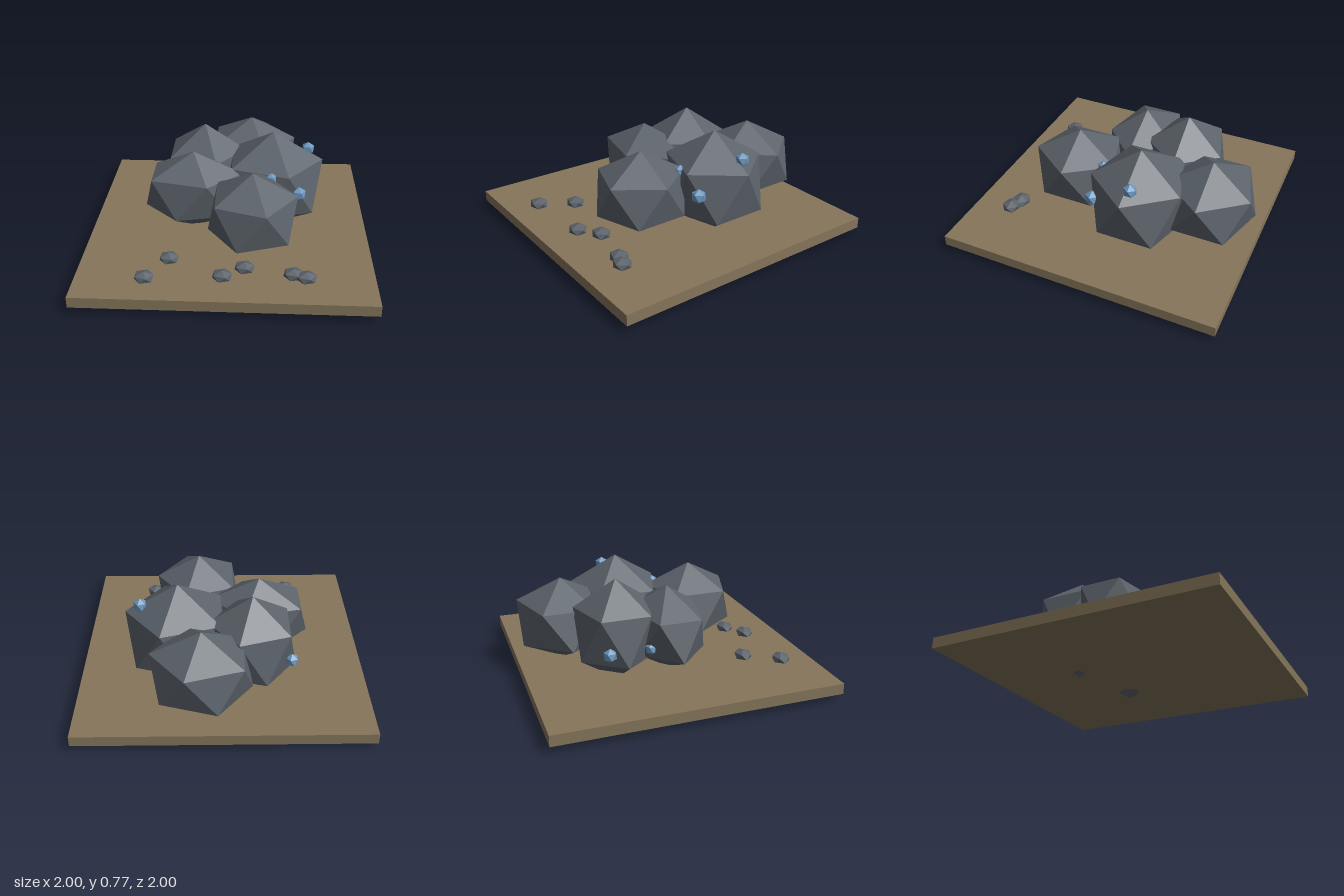
import * as THREE from 'three';

// Unit icosahedron standing on a vertex: two poles and two staggered rings of five
function stoneGeometry() {
  const verts = [0, 1, 0, 0, -1, 0];
  const h = 1 / Math.sqrt(5), r = 2 * h;
  for (let i = 0; i < 5; i++) {
    const a = (i * 2 * Math.PI) / 5, b = a + Math.PI / 5;
    verts.push(r * Math.cos(a), h, r * Math.sin(a));   // upper ring
    verts.push(r * Math.cos(b), -h, r * Math.sin(b));  // lower ring
  }
  const faces = [];
  for (let i = 0; i < 5; i++) {
    const u = 2 + 2 * i, l = u + 1;
    const u2 = 2 + 2 * ((i + 1) % 5), l2 = u2 + 1;
    faces.push(0, u2, u, 1, l, l2, u, u2, l, l, u2, l2);
  }
  return new THREE.PolyhedronGeometry(verts, faces, 1, 0);
}

function material(name, color) {
  const m = new THREE.MeshStandardMaterial({ color, flatShading: true });
  m.name = name;
  return m;
}

export function createModel() {
  const model = new THREE.Group();
  model.name = 'rockPile';
  const earth = material('earth brown', 0x85755a);
  const stone = material('slate grey', 0x5c636b);
  const crystal = material('crystal blue', 0x6c97c0);
  const geometry = stoneGeometry();

  function addStones(name, mat, list) {
    const group = new THREE.Group();
    group.name = name + 's';
    list.forEach(([x, y, z, sx, sy, sz], i) => {
      const mesh = new THREE.Mesh(geometry, mat);
      mesh.name = name + (i + 1);
      mesh.position.set(x, y, z);
      mesh.scale.set(sx, sy, sz);
      group.add(mesh);
    });
    model.add(group);
  }

  // Ground slab
  const slab = new THREE.Mesh(new THREE.BoxGeometry(2, 0.077, 2), earth);
  slab.name = 'groundSlab';
  slab.position.y = 0.0865;
  model.add(slab);

  // Boulders: position, then radii
  addStones('boulder', stone, [
    [0.17, 0.39, 0.33, 0.347, 0.307, 0.358],
    [0.31, 0.385, -0.2, 0.413, 0.385, 0.384],
    [0.145, 0.39, -0.655, 0.383, 0.304, 0.354],
    [-0.2, 0.39, -0.348, 0.347, 0.372, 0.327],
    [-0.262, 0.39, 0, 0.402, 0.304, 0.283],
  ]);

  // Pebbles scattered in front
  addStones('pebble', stone, [
    [-0.533, 0.775], [-0.392, 0.545], [-0.018, 0.738],
    [0.128, 0.636], [0.455, 0.7], [0.54, 0.733],
  ].map(([x, z]) => [x, 0.145, z, 0.075, 0.04, 0.067]));

  // Crystals embedded in the boulders
  addStones('crystal', crystal, [
    [0.57, 0.63, -0.233, 0.05],
    [0.5, 0.415, 0.083, 0.054],
    [0.3, 0.537, 0.09, 0.042],
    [-0.472, 0.325, -0.47, 0.05],
    [-0.45, 0.325, -0.175, 0.045],
  ].map(([x, y, z, r]) => [x, y, z, r, r, r]));

  return model;
}
